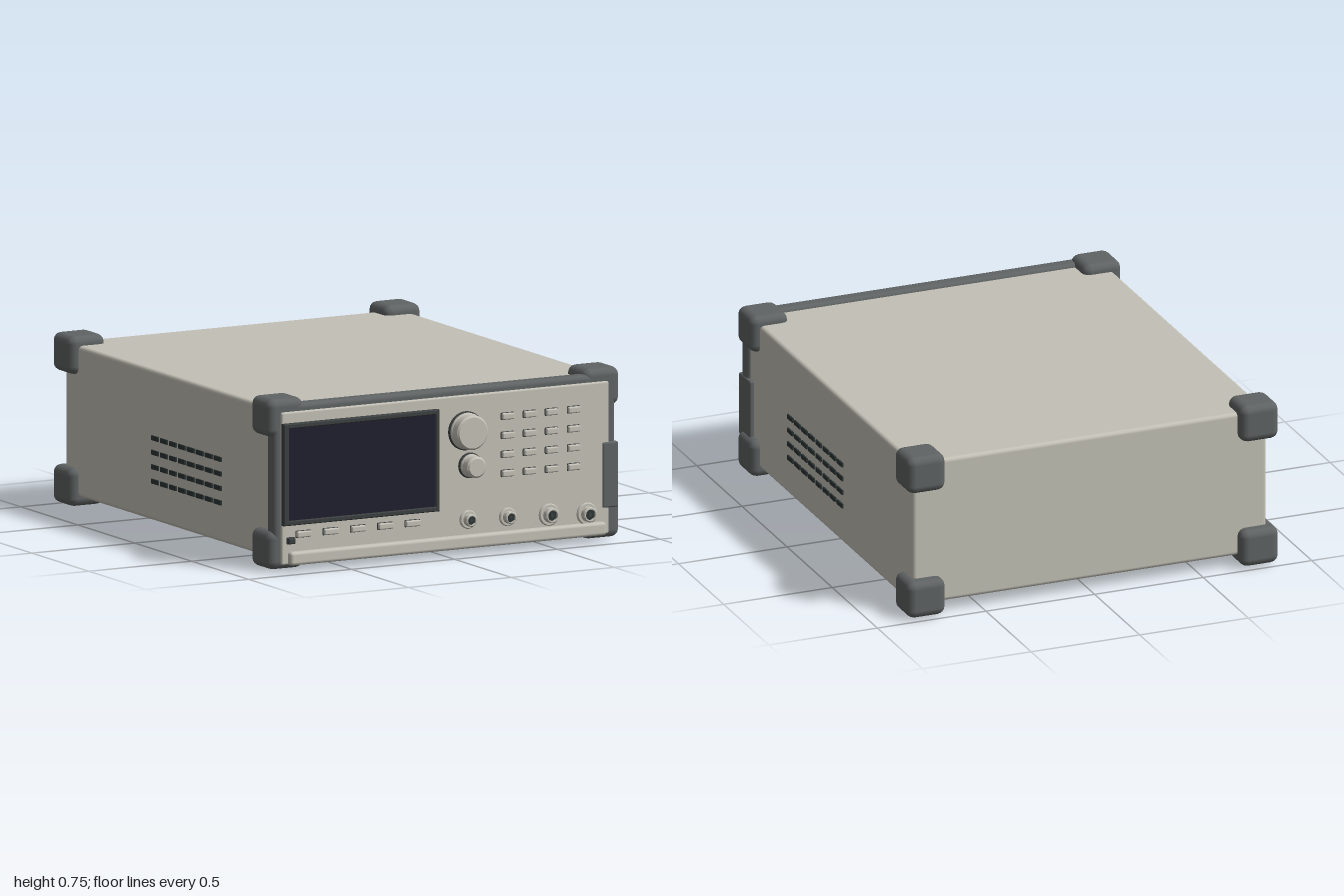
import * as THREE from 'three';
import { RoundedBoxGeometry } from 'three/addons/geometries/RoundedBoxGeometry.js';
import { toCreasedNormals } from 'three/addons/utils/BufferGeometryUtils.js';

const paint = (name, color) => {
  const m = new THREE.MeshStandardMaterial({ color });
  m.name = name;
  return m;
};

export function createModel() {
  const root = new THREE.Group();
  root.name = 'benchInstrument';
  const casing = paint('warmGrey', 0xc3c1b6);
  const rubber = paint('darkGrey', 0x5f6363);
  const trim = paint('charcoal', 0x3c4040);
  const black = paint('ventBlack', 0x2c3434);
  const glass = paint('screenNavy', 0x20202e);

  const add = (name, geometry, material, x = 0, y = 0, z = 0, parent = root) => {
    const mesh = new THREE.Mesh(geometry, material);
    mesh.name = name;
    mesh.position.set(x, y, z);
    parent.add(mesh);
    return mesh;
  };
  const group = (name) => {
    const g = new THREE.Group();
    g.name = name;
    root.add(g);
    return g;
  };
  // Rounded block given by its extents on each axis
  const block = (name, material, [x0, x1], [y0, y1], [z0, z1], r, parent = root, seg = 2) =>
    add(name, new RoundedBoxGeometry(x1 - x0, y1 - y0, z1 - z0, seg, r), material,
      (x0 + x1) / 2, (y0 + y1) / 2, (z0 + z1) / 2, parent);
  // Turned part facing +z; profile points are [radius, z]
  const turned = (name, material, profile, x, y, parent, sides = 40) => {
    const g = new THREE.LatheGeometry(profile.map(([r, z]) => new THREE.Vector2(r, z)), sides);
    g.rotateX(Math.PI / 2);
    return add(name, toCreasedNormals(g, 0.5), material, x, y, 0, parent);
  };

  // Case and front frame
  block('case', casing, [-0.815, 0.815], [0.053, 0.705], [-0.948, 0.88], 0.018);
  block('frontFrame', rubber, [-0.83, 0.83], [0.025, 0.722], [0.848, 0.918], 0.022);
  block('frontPanel', casing, [-0.8, 0.79], [0.032, 0.69], [0.87, 0.93], 0.008);

  // Corner bumpers
  const bumpers = group('cornerBumpers');
  for (const sx of [-1, 1])
    for (const y of [0.093, 0.663])
      for (const z of [-0.913, 0.831])
        add('cornerBumper', new RoundedBoxGeometry(0.175, 0.166, 0.174, 2, 0.035), rubber,
          sx * 0.767, y, z, bumpers);

  // Feet
  const feet = group('feet');
  for (const x of [-0.548, 0.548])
    for (const z of [-0.655, 0.575])
      block('foot', black, [x - 0.075, x + 0.075], [0, 0.06], [z - 0.087, z + 0.087], 0.01, feet, 1);

  // Side vents
  const vents = group('sideVents');
  const slot = new THREE.BoxGeometry(0.009, 0.02, 0.06);
  for (const sx of [-1, 1])
    for (let row = 0; row < 4; row++)
      for (let col = 0; col < 8; col++)
        add('ventSlot', slot, black, sx * 0.8175, 0.412 - row * 0.0625, 0.4 - col * 0.0785, vents);

  // Screen: bezel with an opening, glass inside it
  const bezelShape = new THREE.Shape([[-0.8, 0.203], [-0.043, 0.203], [-0.043, 0.643], [-0.8, 0.643]]
    .map(([x, y]) => new THREE.Vector2(x, y)));
  bezelShape.holes.push(new THREE.Path([[-0.775, 0.224], [-0.775, 0.622], [-0.062, 0.622], [-0.062, 0.224]]
    .map(([x, y]) => new THREE.Vector2(x, y))));
  add('screenBezel', new THREE.ExtrudeGeometry(bezelShape, {
    depth: 0.022, bevelSize: 0.004, bevelOffset: -0.004, bevelThickness: 0.004, bevelSegments: 1,
  }), trim, 0, 0, 0.925);
  add('screen', new THREE.BoxGeometry(0.715, 0.4, 0.009), glass, -0.4185, 0.423, 0.9385);

  // Soft keys, power key and keypad
  const keys = group('keys');
  const key = (name, material, x, y, w, h) => {
    block(name + 'Surround', trim, [x - w / 2 - 0.003, x + w / 2 + 0.003],
      [y - h / 2 - 0.003, y + h / 2 + 0.003], [0.922, 0.933], 0.004, keys, 1);
    block(name, material, [x - w / 2, x + w / 2], [y - h / 2, y + h / 2], [0.92, 0.947], 0.006, keys);
  };
  for (let i = 0; i < 5; i++) key('softKey', casing, -0.697 + i * 0.1325, 0.16, 0.07, 0.026);
  for (let row = 0; row < 4; row++)
    for (let col = 0; col < 4; col++)
      key('keypadKey', casing, 0.295 + col * 0.107, 0.583 - row * 0.0823, 0.058, 0.027);
  key('powerKey', trim, -0.757, 0.135, 0.034, 0.026);

  // Rotary knobs with dark collars
  const knobs = group('knobs');
  for (const [x, y, r] of [[0.092, 0.537, 0.075], [0.112, 0.386, 0.046]]) {
    turned('knobCollar', trim, [[r + 0.009, 0.92], [r + 0.009, 0.938], [r + 0.005, 0.942], [0, 0.942]], x, y, knobs);
    turned('knob', casing, [[r + 0.004, 0.935], [r + 0.004, 0.95], [r, 0.955], [r, 0.992],
      [r - 0.008, 1], [0, 1]], x, y, knobs);
  }

  // Input sockets
  const sockets = group('sockets');
  for (const [x, y, r] of [[0.103, 0.153, 0.04], [0.295, 0.148, 0.04], [0.496, 0.14, 0.048], [0.68, 0.128, 0.048]]) {
    const b = r * 0.68;
    turned('socketBarrel', casing, [[r, 0.92], [r, 0.938], [r - 0.004, 0.942], [b, 0.942], [b, 0.966],
      [b - 0.004, 0.97], [b * 0.72, 0.97], [b * 0.72, 0.945]], x, y, sockets, 28);
    turned('socketCore', black, [[b * 0.73, 0.94], [b * 0.73, 0.962], [0, 0.962]], x, y, sockets, 6);
    turned('socketPin', trim, [[b * 0.28, 0.96], [b * 0.28, 0.966], [0, 0.966]], x, y, sockets, 12);
  }

  // Lower ledge and side grip
  block('lowerLedge', casing, [-0.77, 0.765], [0.03, 0.088], [0.91, 0.958], 0.014);
  block('sideGrip', rubber, [0.757, 0.834], [0.145, 0.428], [0.81, 0.937], 0.008);
  return root;
}
